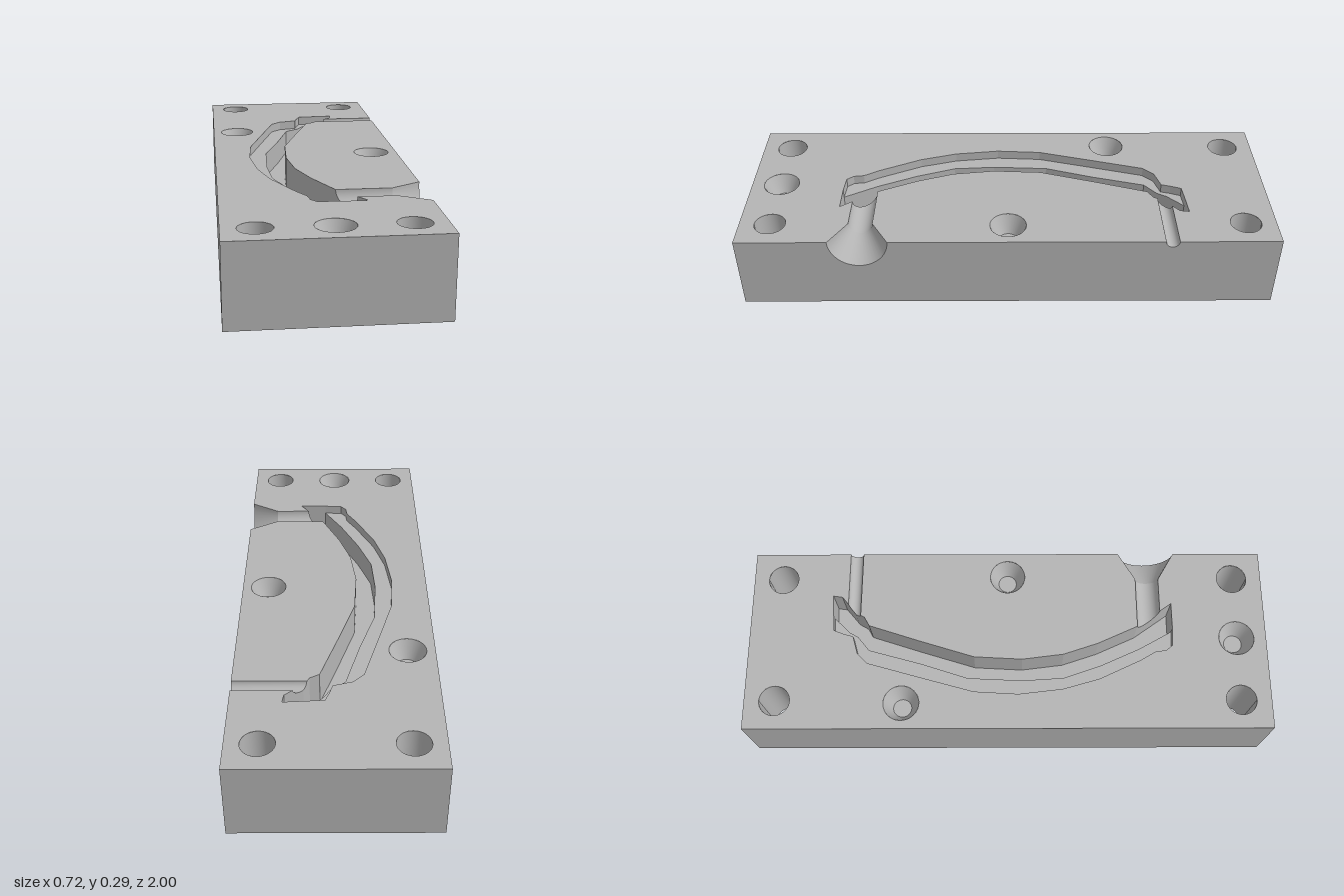
import * as THREE from 'three';

const W = 0.36, H = 0.29, L = 1;            // half width, height, half length
const LEDGE = H - 0.035, FLOOR = H - 0.13;  // cavity levels
const VENT = { z: -0.6, r: 0.025 }, SPRUE = { z: 0.55, r: 0.045, flare: 0.11, neck: 0.25 };
const BOLT_R = 0.058, KEY = { r: 0.068, floor: 0.035, depth: 0.07 };
const bolts = [[-0.25, -0.885], [0.25, -0.885], [-0.25, 0.885], [0.25, 0.885]];
const keys = [[-0.26, -0.405], [0.26, 0], [0, 0.885]];

// Cavity edges as [x, z], from back to front
const outer = [[0.1, -0.68], [0.035, -0.675], [0.02, -0.635], [0.01, -0.6], [-0.06, -0.58], [-0.1, -0.54],
  [-0.165, -0.31], [-0.215, -0.13], [-0.225, 0.04], [-0.205, 0.21], [-0.165, 0.35], [-0.09, 0.51],
  [-0.055, 0.57], [-0.05, 0.61], [-0.03, 0.635], [0.04, 0.64]];
const middle = [[0.1, -0.68], [0.04, -0.62], [0.02, -0.585], [-0.035, -0.54], [-0.09, -0.34], [-0.15, -0.155],
  [-0.16, 0.055], [-0.15, 0.215], [-0.1, 0.36], [-0.03, 0.515], [0.04, 0.64]];
const inner = [[0.18, -0.685], [0.175, -0.65], [0.11, -0.595], [0.09, -0.56], [0.055, -0.54], [-0.01, -0.34],
  [-0.075, -0.13], [-0.085, 0.055], [-0.065, 0.215], [-0.02, 0.35], [0.05, 0.505], [0.145, 0.64]];

// x of the inner cavity edge at a given z
function innerX(z) {
  const i = Math.max(1, inner.findIndex((p) => p[1] >= z));
  const [a, b] = [inner[i - 1], inner[i]];
  return a[0] + (b[0] - a[0]) * (z - a[1]) / (b[1] - a[1]);
}
const onInner = (z) => [innerX(z), z];

// Half-round section of a channel, from -z to +z
function section(c, r = c.r, n = 20) {
  return Array.from({ length: n + 1 }, (_, i) => {
    const a = Math.PI * i / n;
    return [c.z - r * Math.cos(a), H - r * Math.sin(a)];
  });
}

// Horizontal face from an [x, z] outline with round holes [x, z, r]
function flat(points, y, holes = []) {
  const shape = new THREE.Shape(points.map(([x, z]) => new THREE.Vector2(x, -z)));
  for (const [x, z, r] of holes) shape.holes.push(new THREE.Path().absarc(x, -z, r, 0, Math.PI * 2, true));
  return new THREE.ShapeGeometry(shape, 32).rotateX(-Math.PI / 2).translate(0, y, 0);
}

// Surface between two rows of points
function strip(a, b, smooth = false) {
  const n = a.length, index = [];
  for (let i = 0; i < n - 1; i++) index.push(i, n + i, i + 1, i + 1, n + i, n + i + 1);
  let g = new THREE.BufferGeometry();
  g.setAttribute('position', new THREE.Float32BufferAttribute([...a, ...b].flat(), 3));
  g.setIndex(index);
  if (!smooth) g = g.toNonIndexed();
  g.computeVertexNormals();
  return g;
}
const wall = (pts, y0, y1) => strip(pts.map(([x, z]) => [x, y1, z]), pts.map(([x, z]) => [x, y0, z]));

export function createModel() {
  const group = new THREE.Group();
  const steel = new THREE.MeshStandardMaterial({ color: 0xb4b4b4, side: THREE.DoubleSide });
  steel.name = 'grey steel';
  const add = (name, geometry) => {
    const mesh = new THREE.Mesh(geometry, steel);
    mesh.name = name;
    group.add(mesh);
    return mesh;
  };
  const boltHoles = bolts.map(([x, z]) => [x, z, BOLT_R]);
  const keyHoles = keys.map(([x, z]) => [x, z, KEY.r]);
  const v0 = VENT.z - VENT.r, v1 = VENT.z + VENT.r;
  const s0 = SPRUE.z - SPRUE.r, s1 = SPRUE.z + SPRUE.r;
  const between = (a, b) => inner.filter((p) => p[1] > a + 1e-4 && p[1] < b - 1e-4);

  // Parting face, split in two by the cavity and its channels
  add('partingFace', flat([
    [-W, -L], [W, -L], [W, v0], onInner(v0), ...between(-1, v0).reverse(), ...outer,
    ...between(s1, 1).reverse(), onInner(s1), [SPRUE.neck, s1], [W, SPRUE.z + SPRUE.flare], [W, L], [-W, L],
  ], H, [...boltHoles, keyHoles[0], keyHoles[2]]));
  add('partingIsland', flat([
    [W, v1], [W, SPRUE.z - SPRUE.flare], [SPRUE.neck, s0], onInner(s0), ...between(v1, s0).reverse(), onInner(v1),
  ], H, [keyHoles[1]]));

  // Underside and plain sides
  const corners = [[-W, -L], [W, -L], [W, L], [-W, L]];
  add('underside', flat(corners, 0, boltHoles).rotateX(Math.PI).translate(0, 0, 0));
  add('plainSides', wall([[W, L], [-W, L], [-W, -L], [W, -L]], 0, H));

  // Side with the channel mouths, drawn as (-z, y)
  const mouth = [[-L, H], ...section(VENT), ...section(SPRUE, SPRUE.flare), [L, H], [L, 0], [-L, 0]];
  const side = new THREE.Shape(mouth.map(([z, y]) => new THREE.Vector2(-z, y)));
  add('channelSide', new THREE.ShapeGeometry(side).rotateY(Math.PI / 2).translate(W, 0, 0));

  // Cavity: shallow ledge beside a deep groove
  add('cavityLedge', flat([...outer, ...middle.slice(1, -1).reverse()], LEDGE));
  add('cavityFloor', flat([...middle, ...inner.slice().reverse()], FLOOR));
  add('ledgeWall', wall(outer, LEDGE, H));
  add('grooveWall', wall(middle, FLOOR, LEDGE));
  add('grooveBackEnd', wall([middle[0], inner[0]], FLOOR, H));
  add('grooveFrontEnd', wall([middle.at(-1), inner.at(-1)], FLOOR, H));

  // Inner groove wall, dipping where the channels break through
  const rim = [...inner.map(([, z]) => [z, H]).filter(([z]) => !(z >= s0 && z <= s1) && !(z >= v0 && z <= v1)),
    ...section(VENT), ...section(SPRUE)].sort((a, b) => a[0] - b[0]);
  add('grooveInnerWall', strip(rim.map(([z, y]) => [innerX(z), y, z]), rim.map(([z]) => [innerX(z), FLOOR, z])));

  // Channels
  const toInner = (pts) => pts.map(([z, y]) => [innerX(z), y, z]);
  const atX = (pts, x) => pts.map(([z, y]) => [x, y, z]);
  add('ventChannel', strip(toInner(section(VENT)), atX(section(VENT), W), true));
  add('sprueChannel', strip(toInner(section(SPRUE)), atX(section(SPRUE), SPRUE.neck), true));
  add('sprueFunnel', strip(atX(section(SPRUE), SPRUE.neck), atX(section(SPRUE, SPRUE.flare), W), true));

  // Bolt holes through the block
  for (const [x, z] of bolts) {
    add('boltHole', new THREE.CylinderGeometry(BOLT_R, BOLT_R, H, 32, 1, true)).position.set(x, H / 2, z);
  }

  // Tapered registration sockets
  for (const [x, z] of keys) {
    add('socketWall', new THREE.CylinderGeometry(KEY.r, KEY.floor, KEY.depth, 32, 1, true))
      .position.set(x, H - KEY.depth / 2, z);
    add('socketFloor', new THREE.CircleGeometry(KEY.floor, 32).rotateX(-Math.PI / 2))
      .position.set(x, H - KEY.depth, z);
  }
  return group;
}
